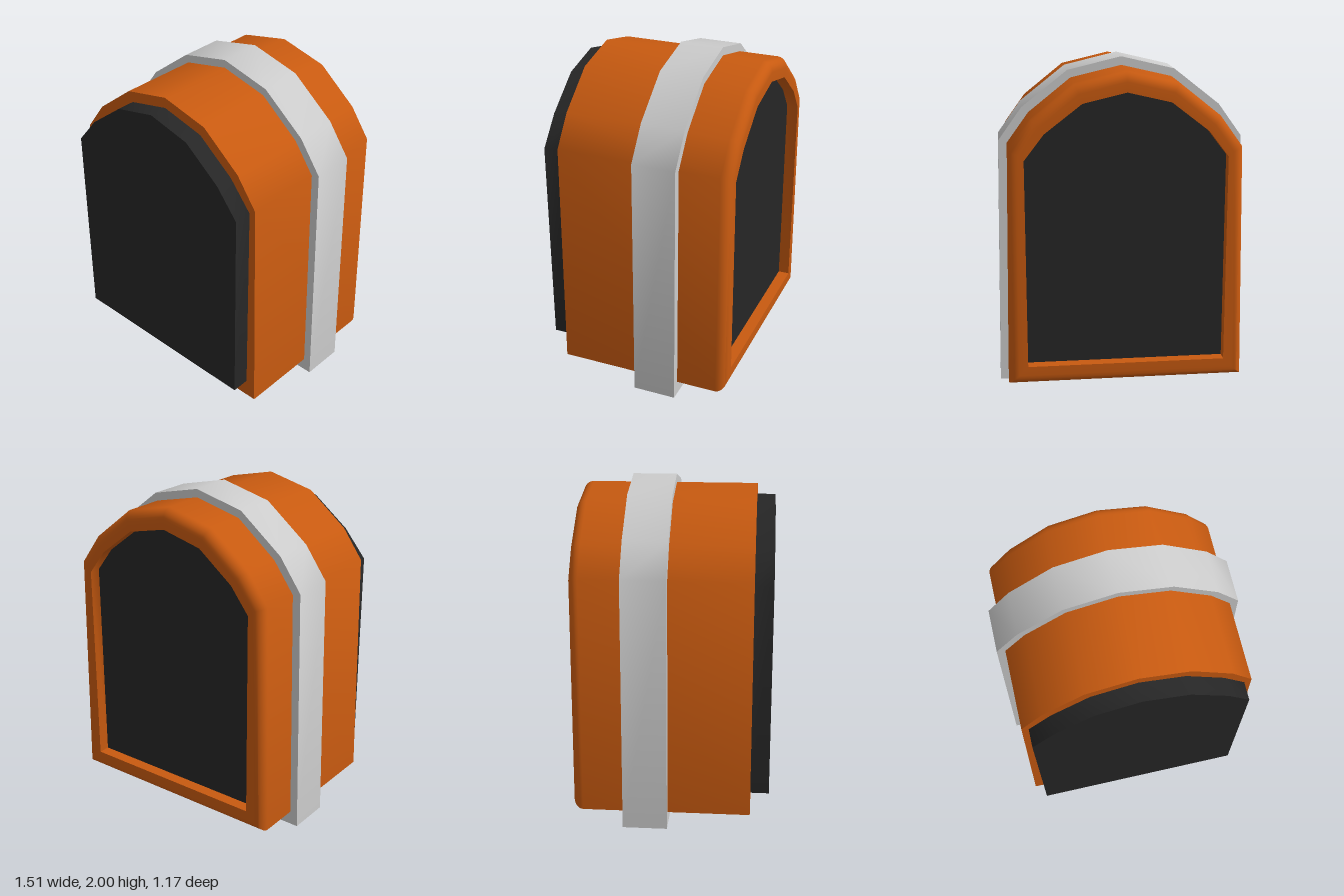
import * as THREE from 'three';
import { toCreasedNormals } from 'three/addons/utils/BufferGeometryUtils.js';

const CREASE = 0.7;

// Full arch outline, counter-clockwise, from its +x half (bottom corner up to the apex)
function arch(half) {
  const mirrored = half.slice(0, -1).reverse().map(([x, y]) => [-x, y]);
  return [...half, ...mirrored].map(([x, y]) => new THREE.Vector2(x, y));
}

// Moves every edge of a convex outline inwards by d, with mitred corners
function inset(points, d) {
  const n = points.length;
  const normal = (a, b) => new THREE.Vector2(a.y - b.y, b.x - a.x).normalize();
  return points.map((p, i) => {
    const n1 = normal(points[(i + n - 1) % n], p);
    const n2 = normal(p, points[(i + 1) % n]);
    const mitre = n1.clone().add(n2);
    return p.clone().addScaledVector(mitre, d / (1 + n1.dot(n2)));
  });
}

// Straight slab between two depths
function slab(points, zBack, zFront) {
  const geo = new THREE.ExtrudeGeometry(new THREE.Shape(points), {
    depth: zFront - zBack, bevelEnabled: false,
  });
  geo.translate(0, 0, zBack);
  return toCreasedNormals(geo, CREASE);
}

// Skin over outlines ordered front to back, closed by a flat front face
function loft(rings) {
  const pos = [];
  const add = (...verts) => verts.forEach((v) => pos.push(v.x, v.y, v.z));
  const loops = rings.map(([pts, z]) => pts.map((p) => new THREE.Vector3(p.x, p.y, z)));
  const n = loops[0].length;
  const centre = new THREE.Vector3(0, 1, rings[0][1]);
  for (let j = 0; j < n; j++) {
    const k = (j + 1) % n;
    add(centre, loops[0][j], loops[0][k]);
    for (let i = 0; i < loops.length - 1; i++) {
      const a = loops[i][j], b = loops[i][k], c = loops[i + 1][j], d = loops[i + 1][k];
      add(a, c, b, b, c, d);
    }
  }
  const geo = new THREE.BufferGeometry();
  geo.setAttribute('position', new THREE.Float32BufferAttribute(pos, 3));
  return toCreasedNormals(geo, CREASE);
}

export function createModel() {
  const group = new THREE.Group();
  const orange = new THREE.MeshStandardMaterial({ color: 0xc85a10 });
  const black = new THREE.MeshStandardMaterial({ color: 0x262626 });
  const grey = new THREE.MeshStandardMaterial({ color: 0xcccccc });
  const addPart = (name, geo, mat) => {
    const mesh = new THREE.Mesh(geo, mat);
    mesh.name = name;
    group.add(mesh);
  };

  const bodyOutline = arch([[0.705, 0.085], [0.68, 1.5], [0.55, 1.68], [0.3, 1.88], [0, 1.95]]);
  const bandOutline = arch([[0.755, 0], [0.73, 1.515], [0.59, 1.71], [0.317, 1.925], [0, 2]]);
  const frontOutline = arch([[0.64, 0.2], [0.64, 1.47], [0.5, 1.64], [0.27, 1.82], [0, 1.885]]);
  const backOutline = arch([[0.59, 0.2], [0.59, 1.45], [0.475, 1.6], [0.255, 1.77], [0, 1.83]]);

  // Body: straight shell, rounded back edge, then the recess wall
  const radius = 0.06, zFront = 0.475, zBack = -0.585, zRecess = -0.515;
  const rings = [[bodyOutline, zFront]];
  const steps = 6;
  for (let i = 0; i <= steps; i++) {
    const t = (i / steps) * Math.PI / 2;
    rings.push([
      inset(bodyOutline, radius * (1 - Math.cos(t))),
      zBack + radius * (1 - Math.sin(t)),
    ]);
  }
  rings.push([backOutline, zBack], [backOutline, zRecess]);
  addPart('body', loft(rings), orange);

  // Panels and surrounding band
  addPart('backPanel', slab(backOutline, zRecess, zRecess + 0.03), black);
  addPart('frontPanel', slab(frontOutline, zFront, 0.585), black);
  addPart('band', slab(bandOutline, -0.28, -0.015), grey);

  return group;
}
